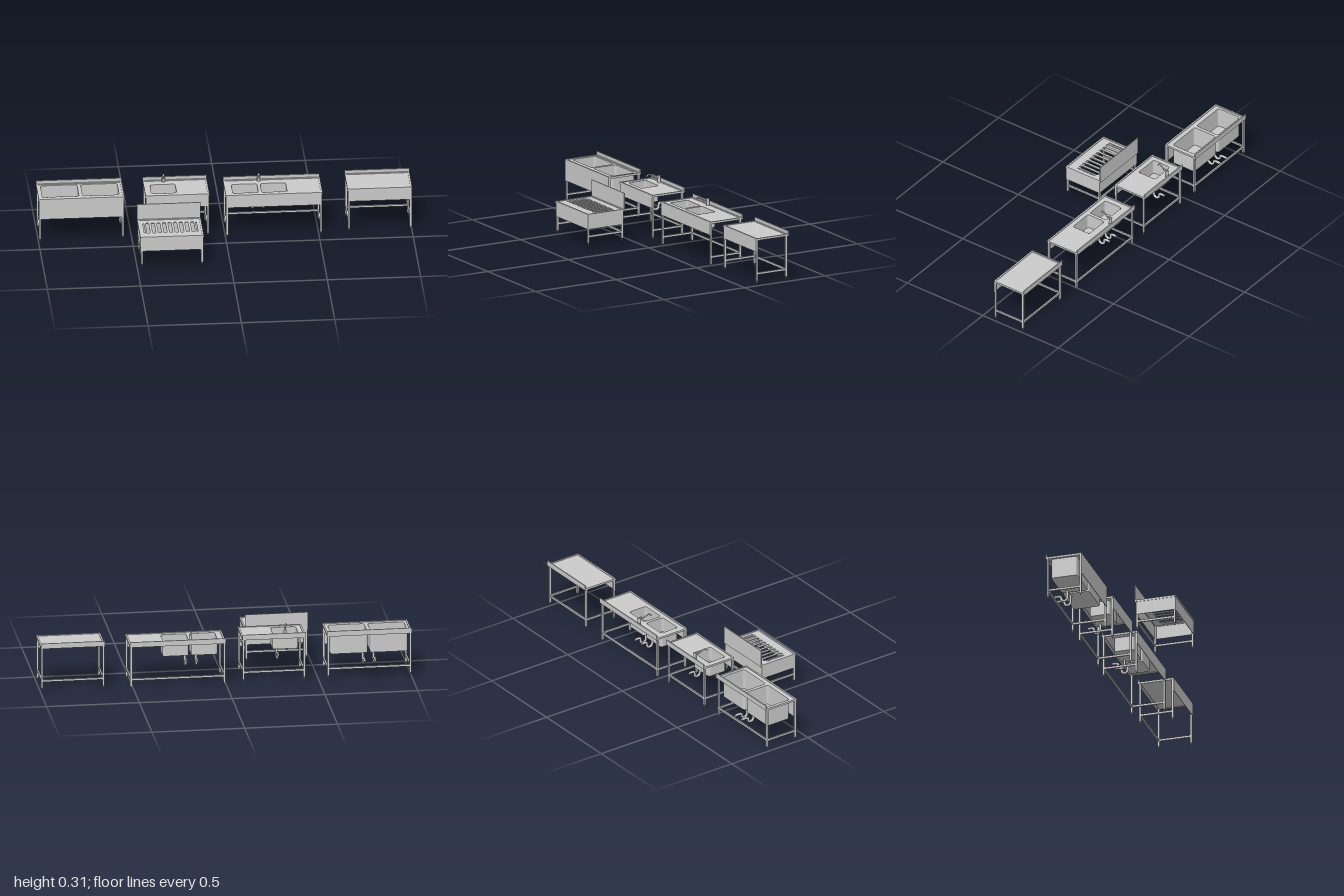
import * as THREE from 'three';

const metal = new THREE.MeshStandardMaterial({ color: 0xcccccc, side: THREE.DoubleSide });

function add(group, name, geometry) {
  const mesh = new THREE.Mesh(geometry, metal);
  mesh.name = name;
  group.add(mesh);
  return mesh;
}

// Box given by its low and high corners
function box(group, name, x0, x1, y0, y1, z0, z1) {
  add(group, name, new THREE.BoxGeometry(x1 - x0, y1 - y0, z1 - z0))
    .position.set((x0 + x1) / 2, (y0 + y1) / 2, (z0 + z1) / 2);
}

// Rounded rectangle in plan; the shape's y is -z
function outline([x0, x1, z0, z1], r = 0, Type = THREE.Shape) {
  const s = new Type(), a = -z1, b = -z0;
  if (!r) {
    s.moveTo(x0, a); s.lineTo(x1, a); s.lineTo(x1, b); s.lineTo(x0, b);
  } else {
    s.absarc(x1 - r, a + r, r, -Math.PI / 2, 0);
    s.absarc(x1 - r, b - r, r, 0, Math.PI / 2);
    s.absarc(x0 + r, b - r, r, Math.PI / 2, Math.PI);
    s.absarc(x0 + r, a + r, r, Math.PI, Math.PI * 1.5);
  }
  s.closePath();
  return s;
}

// Horizontal plate with holes
function plate(group, name, shape, holes, y0, y1) {
  shape.holes.push(...holes);
  const g = new THREE.ExtrudeGeometry(shape, { depth: y1 - y0, bevelEnabled: false, curveSegments: 6 });
  add(group, name, g.rotateX(-Math.PI / 2).translate(0, y0, 0));
}

const inset = ([x0, x1, z0, z1], d) => [x0 + d, x1 - d, z0 + d, z1 - d];

function tube(group, name, points, r) {
  const path = new THREE.CatmullRomCurve3(points.map(p => new THREE.Vector3(...p)), false, 'centripetal');
  add(group, name, new THREE.TubeGeometry(path, 40, r, 12));
}

// Four square legs with adjustable feet, plus side and back rails
function frame(group, [x0, x1, z0, z1], top, foot, rail) {
  const w = 0.011;
  for (const x of [x0 + w / 2, x1 - w / 2]) {
    for (const z of [z0 + w / 2, z1 - w / 2]) {
      box(group, 'leg', x - w / 2, x + w / 2, foot + 0.013, top, z - w / 2, z + w / 2);
      add(group, 'foot', new THREE.CylinderGeometry(0.003, 0.003, 0.03, 10)).position.set(x, foot + 0.015, z);
    }
    box(group, 'sideRail', x - 0.004, x + 0.004, rail, rail + 0.011, z0 + w, z1 - w);
  }
  box(group, 'backRail', x0 + w, x1 - w, rail, rail + 0.011, z0 + 0.001, z0 + 0.009);
}

// Sink bowl: rounded wall, floor and drain ring
function basin(group, area, bottom, drainX, drainZ) {
  const r = 0.014;
  plate(group, 'basinWall', outline(area, r), [outline(inset(area, 0.002), r - 0.002, THREE.Path)], bottom, 0.2575);
  plate(group, 'basinFloor', outline(inset(area, 0.001), r - 0.001), [], bottom, bottom + 0.002);
  add(group, 'drain', new THREE.CylinderGeometry(0.01, 0.01, 0.003, 20)).position.set(drainX, bottom + 0.002, drainZ);
}

// U-bend waste pipe, flowing back from the drain
function trap(group, x, top, z, low, outY, outZ) {
  const b = 0.017, zc = z - b;
  const pts = [[x, top, z], [x, low + b + 0.008, z]];
  for (let i = 0; i <= 6; i++) {
    const t = Math.PI * i / 6;
    pts.push([x, low + b - Math.sin(t) * b, zc + Math.cos(t) * b]);
  }
  pts.push([x, outY - 0.006, zc - b - 0.001], [x, outY, zc - b - 0.008], [x, outY, outZ]);
  tube(group, 'wastePipe', pts, 0.007);
}

// Mixer tap with curved spout and lever
function faucet(group, x) {
  const z = -0.253;
  add(group, 'tapBase', new THREE.CylinderGeometry(0.011, 0.011, 0.004, 20)).position.set(x, 0.26, z);
  add(group, 'tapBody', new THREE.CylinderGeometry(0.008, 0.008, 0.03, 20)).position.set(x, 0.273, z);
  add(group, 'tapCap', new THREE.CylinderGeometry(0.006, 0.008, 0.008, 20)).position.set(x, 0.291, z);
  box(group, 'tapLever', x - 0.004, x + 0.004, 0.294, 0.297, z - 0.01, z + 0.02);
  tube(group, 'tapSpout', [[x, 0.28, z], [x - 0.004, 0.287, -0.232], [x - 0.009, 0.3, -0.209],
    [x - 0.011, 0.305, -0.199], [x - 0.013, 0.303, -0.191], [x - 0.014, 0.295, -0.184]], 0.004);
}

// Steel table with rim, deck, splashback, front apron and optional bowls
function counter(name, x0, x1, apronLow, basins = []) {
  const g = new THREE.Group();
  g.name = name;
  const area = [x0, x1, -0.269, -0.073];
  plate(g, 'rim', outline(area), [outline(inset(area, 0.009), 0, THREE.Path)], 0.249, 0.26);
  plate(g, 'deck', outline(inset(area, 0.008)),
    basins.map(b => outline(b.area, 0.014, THREE.Path)), 0.252, 0.257);
  box(g, 'splashback', x0, x1, 0.249, 0.278, -0.275, -0.269);
  box(g, 'frontApron', x0 + 0.002, x1 - 0.002, apronLow, 0.249, -0.076, -0.073);
  frame(g, [x0 + 0.002, x1 - 0.002, -0.268, -0.075], 0.25, 0.014, 0.06);
  for (const b of basins) {
    basin(g, b.area, b.bottom, b.pipe, b.big ? -0.215 : -0.193);
    if (b.big) trap(g, b.pipe, b.bottom, -0.215, 0.086, 0.113, -0.293);
    else trap(g, b.pipe, b.bottom, -0.193, 0.123, 0.156, -0.262);
  }
  return g;
}

// Low stand with a slotted grill top, closed skirt and tall splashback
function grillStand() {
  const g = new THREE.Group();
  g.name = 'grillStand';
  const [x0, x1, z0, z1] = [-0.485, -0.145, 0.068, 0.293];
  const slots = [];
  for (let i = 0; i < 9; i++) {
    const x = -0.4355 + i * 0.0301;
    slots.push(outline([x - 0.0085, x + 0.0085, 0.112, 0.236], 0.006, THREE.Path));
  }
  for (const x of [-0.456, -0.174]) slots.push(outline([x - 0.003, x + 0.003, 0.118, 0.236], 0.0028, THREE.Path));
  const area = [x0, x1, z0, z1];
  plate(g, 'rim', outline(area), [outline(inset(area, 0.009), 0, THREE.Path)], 0.179, 0.19);
  plate(g, 'grillDeck', outline(inset(area, 0.008)), slots, 0.182, 0.187);
  plate(g, 'skirt', outline(inset(area, 0.002)), [outline(inset(area, 0.005), 0, THREE.Path)], 0.106, 0.18);
  box(g, 'splashback', x0, x1, 0.179, 0.278, 0.063, 0.068);
  frame(g, [x0 + 0.003, x1 - 0.003, z0 + 0.002, z1 - 0.003], 0.18, 0.017, 0.06);
  return g;
}

export function createModel() {
  const model = new THREE.Group();
  model.name = 'kitchenCounters';

  const deepSink = counter('deepDoubleSink', -1, -0.542, 0.142, [
    { area: [-0.98, -0.78, -0.25, -0.105], bottom: 0.142, pipe: -0.8, big: true },
    { area: [-0.765, -0.565, -0.25, -0.105], bottom: 0.142, pipe: -0.742, big: true },
  ]);

  const singleSink = counter('singleSink', -0.428, -0.086, 0.187, [
    { area: [-0.396, -0.257, -0.217, -0.105], bottom: 0.172, pipe: -0.28 },
  ]);
  faucet(singleSink, -0.318);

  const doubleSink = counter('doubleSink', 0.002, 0.52, 0.187, [
    { area: [0.04, 0.181, -0.217, -0.105], bottom: 0.172, pipe: 0.155 },
    { area: [0.195, 0.335, -0.217, -0.105], bottom: 0.172, pipe: 0.214 },
  ]);
  faucet(doubleSink, 0.192);
  doubleSink.position.y = -0.014;

  model.add(deepSink, singleSink, doubleSink, counter('workTable', 0.654, 1, 0.187), grillStand());
  return model;
}
